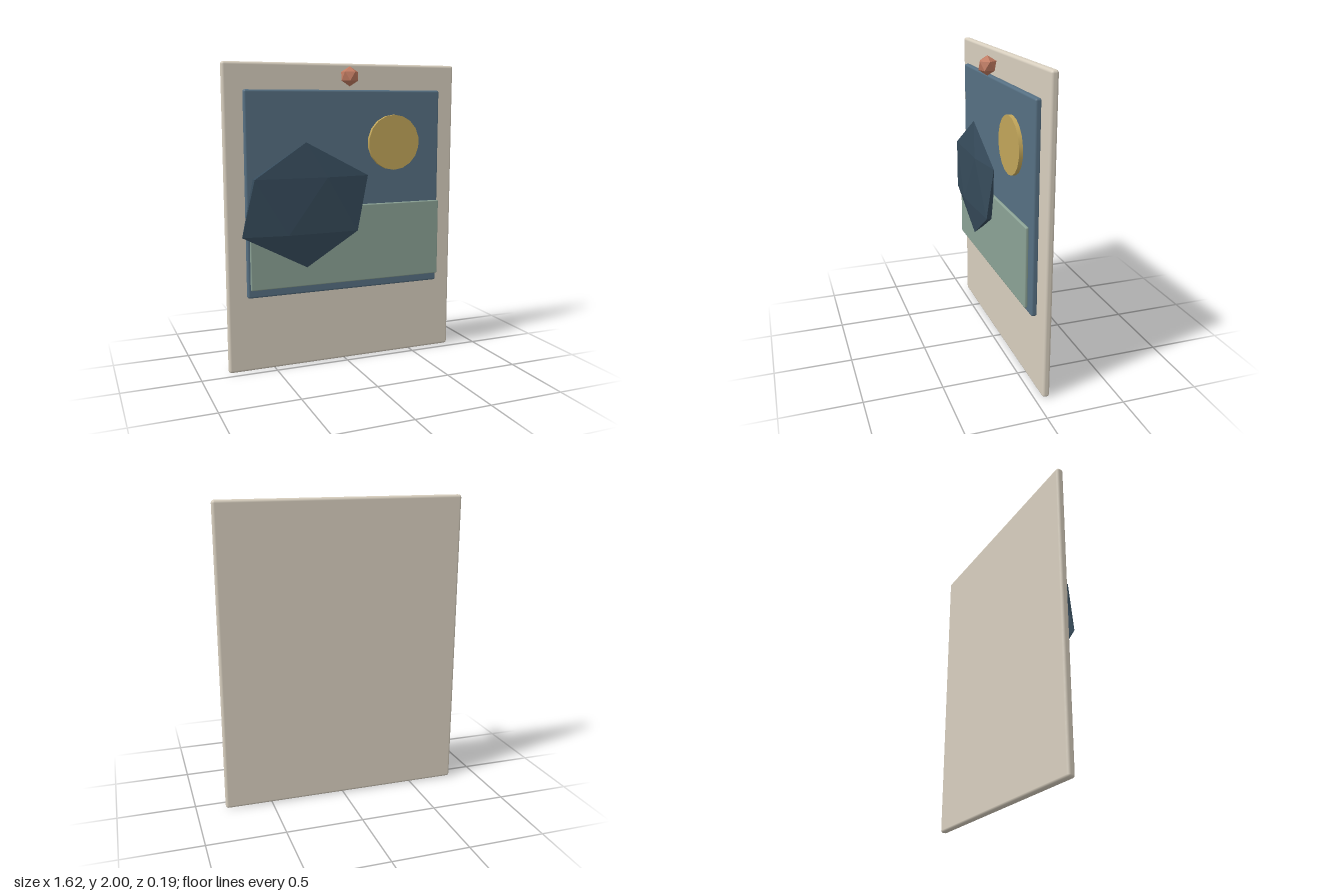
import * as THREE from 'three';
import { RoundedBoxGeometry } from 'three/addons/geometries/RoundedBoxGeometry.js';

const mat = (color, flatShading = false) => new THREE.MeshStandardMaterial({ color, flatShading });

// Rounded panel given by its x, y and z extents
function panel(name, color, [x0, x1], [y0, y1], [z0, z1], radius) {
  const geo = new RoundedBoxGeometry(x1 - x0, y1 - y0, z1 - z0, 2, radius);
  const mesh = new THREE.Mesh(geo, mat(color));
  mesh.name = name;
  mesh.position.set((x0 + x1) / 2, (y0 + y1) / 2, (z0 + z1) / 2);
  return mesh;
}

// Icosahedron standing on a corner, stretched to three radii
function gem(name, color, position, radii) {
  const geo = new THREE.IcosahedronGeometry(1, 0);
  geo.rotateX(-Math.atan((1 + Math.sqrt(5)) / 2));
  geo.rotateY(Math.PI / 2);
  geo.scale(...radii);
  geo.computeVertexNormals();
  const mesh = new THREE.Mesh(geo, mat(color, true));
  mesh.name = name;
  mesh.position.set(...position);
  return mesh;
}

export function createModel() {
  const model = new THREE.Group();
  model.name = 'pictureCard';

  // Card, picture and foreground strip
  model.add(
    panel('card', 0xd8cfbf, [-0.81, 0.81], [0, 2], [-0.097, -0.049], 0.018),
    panel('skyPanel', 0x567083, [-0.684, 0.684], [0.5, 1.83], [-0.055, -0.014], 0.014),
    panel('groundStrip', 0x8ca396, [-0.672, 0.672], [0.56, 1.08], [0.006, 0.027], 0.008),
  );

  // Sun disc facing forward
  const sunGeo = new THREE.CylinderGeometry(0.184, 0.184, 0.025, 18);
  sunGeo.rotateX(Math.PI / 2);
  const sun = new THREE.Mesh(sunGeo, mat(0xc2a65a));
  sun.name = 'sun';
  sun.position.set(0.333, 1.485, 0.002);
  model.add(sun);

  // Flattened faceted hill and the pin at the top
  model.add(
    gem('hill', 0x364b5b, [-0.298, 1.094, 0.038], [0.479, 0.406, 0.044]),
    gem('pin', 0xc07a60, [0, 1.915, 0.037], [0.063, 0.063, 0.063]),
  );

  return model;
}
